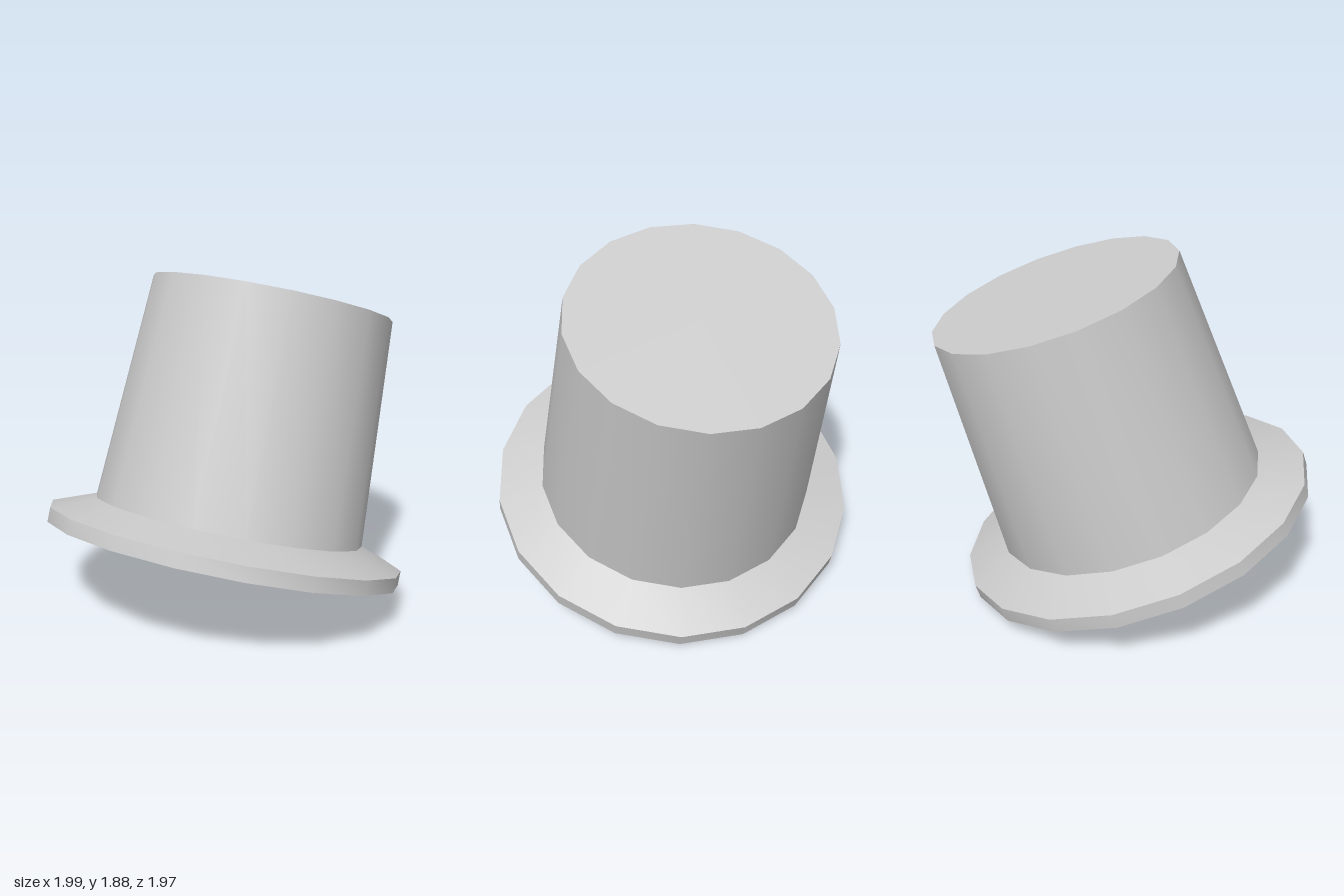
import * as THREE from 'three';
import { toCreasedNormals } from 'three/addons/utils/BufferGeometryUtils.js';

const SIDES = 18;

// Revolve a [radius, height] profile; facets smooth around, sharp at rims
function turned(name, profile, material) {
  const points = profile.map(([r, y]) => new THREE.Vector2(r, y));
  const lathe = new THREE.LatheGeometry(points, SIDES, THREE.MathUtils.degToRad(8.25));
  const mesh = new THREE.Mesh(toCreasedNormals(lathe, THREE.MathUtils.degToRad(30)), material);
  mesh.name = name;
  return mesh;
}

export function createModel() {
  const material = new THREE.MeshStandardMaterial({ color: 0xcccccc });

  const hat = new THREE.Group();
  hat.name = 'topHat';

  // Brim: shallow hollow underneath, thin rim, top sloping up to the crown
  hat.add(turned('brim', [[0, 0.03], [0.75, 0.03], [1, 0], [1, 0.08], [0.76, 0.17]], material));

  // Crown: tapered wall with a flat closed top
  hat.add(turned('crown', [[0.76, 0.17], [0.68, 1.43], [0, 1.43]], material));

  // Tilt the whole hat towards its left and back
  const axis = new THREE.Vector3(0.255, 0.951, -0.171).normalize();
  hat.quaternion.setFromUnitVectors(new THREE.Vector3(0, 1, 0), axis);
  hat.position.set(-0.025, 0.308, 0.01);

  const model = new THREE.Group();
  model.name = 'tiltedTopHat';
  model.add(hat);
  return model;
}
